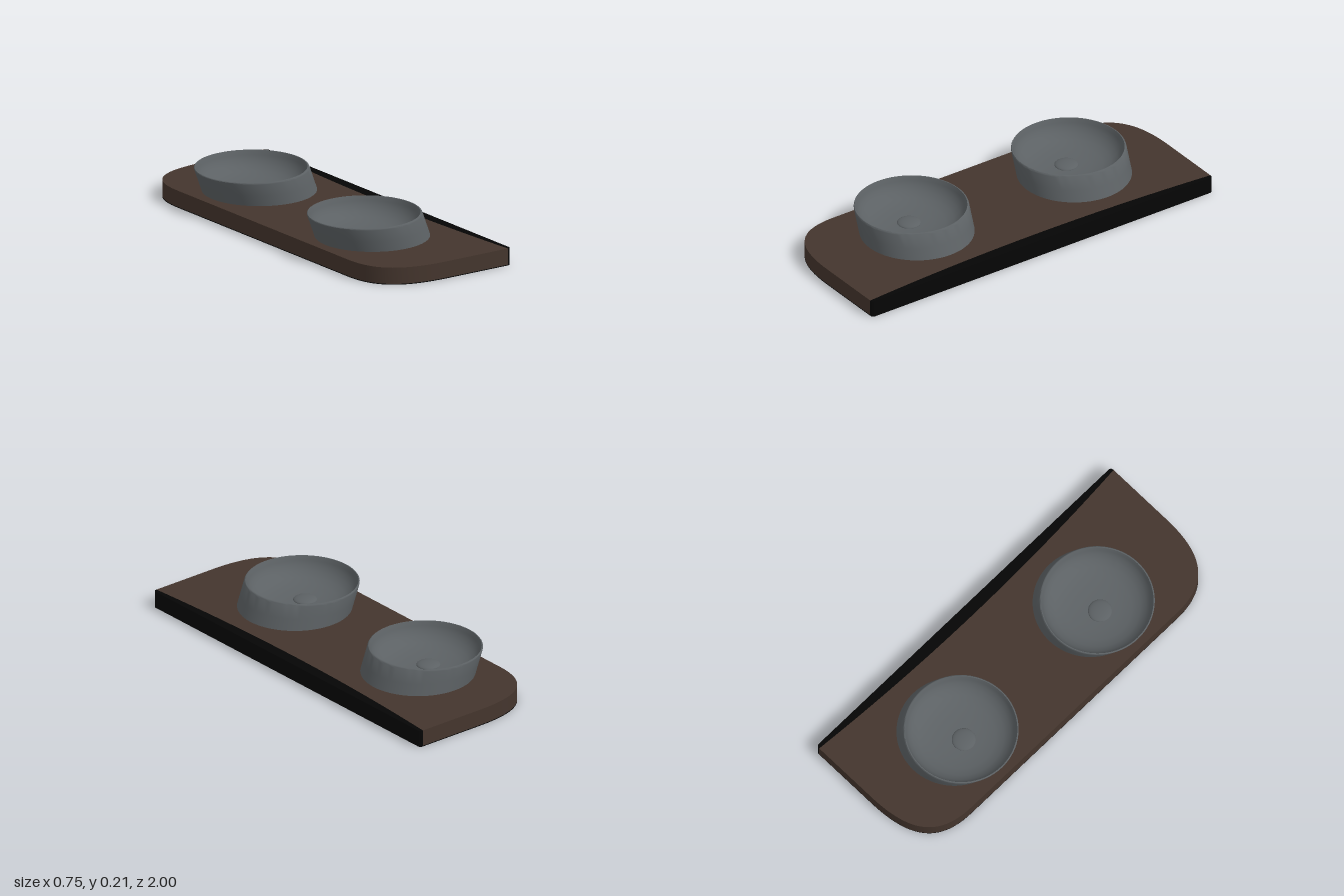
import * as THREE from 'three';
import { toCreasedNormals } from 'three/addons/utils/BufferGeometryUtils.js';

const wood = new THREE.MeshStandardMaterial({ color: 0x44352d });
wood.name = 'darkWood';
const black = new THREE.MeshStandardMaterial({ color: 0x050505 });
black.name = 'black';
const ceramic = new THREE.MeshStandardMaterial({ color: 0x5c6164 });
ceramic.name = 'greyCeramic';

const TOP = 0.085; // counter height
const BASE = 0.004; // thin black underside
const RIM = 0.208; // basin height

// Wide soft corners on the -x side, from one end to the other
function softSide(s) {
  s.lineTo(0, 1);
  s.bezierCurveTo(-0.25, 1, -0.373, 0.92, -0.373, 0.7);
  s.lineTo(-0.373, -0.7);
  s.bezierCurveTo(-0.373, -0.92, -0.25, -1, 0, -1);
  return s;
}

// Tight corners on the +x side, from +1 back to -1
function squareSide(s) {
  s.quadraticCurveTo(0.373, 1, 0.373, 0.982);
  s.lineTo(0.373, -0.982);
  s.quadraticCurveTo(0.373, -1, 0.355, -1);
  return s;
}

function slab(name, shape, y0, y1, material) {
  const geo = new THREE.ExtrudeGeometry(shape, { depth: y1 - y0, bevelEnabled: false, curveSegments: 24 });
  geo.rotateX(-Math.PI / 2).translate(0, y0, 0);
  const mesh = new THREE.Mesh(toCreasedNormals(geo, 0.6), material);
  mesh.name = name;
  return mesh;
}

function createCounter() {
  const counter = new THREE.Group();
  counter.name = 'counter';

  // Wooden slab meets the black edge along a shallow curve
  const woodShape = new THREE.Shape().moveTo(0.355, -1);
  woodShape.quadraticCurveTo(0.271, 0, 0.355, 1);
  softSide(woodShape).closePath();

  const edgeShape = new THREE.Shape().moveTo(0.355, -1);
  edgeShape.quadraticCurveTo(0.271, 0, 0.355, 1);
  squareSide(edgeShape);

  const baseShape = softSide(new THREE.Shape().moveTo(0.355, 1));
  baseShape.lineTo(0.355, -1);
  baseShape.quadraticCurveTo(0.373, -1, 0.373, -0.982);
  baseShape.lineTo(0.373, 0.982);
  baseShape.quadraticCurveTo(0.373, 1, 0.355, 1);

  counter.add(
    slab('counterTop', woodShape, BASE, TOP, wood),
    slab('wallEdge', edgeShape, BASE, TOP, black),
    slab('underside', baseShape, 0, BASE, black),
  );
  return counter;
}

function createBasin(z) {
  const basin = new THREE.Group();
  basin.name = 'basin';

  // Outer wall and rim (first six points), then the bowl down to its floor
  const outerCount = 6;
  const profile = [
    [0.277, TOP - 0.003], [0.277, 0.14], [0.277, 0.2], [0.276, 0.205], [0.273, RIM], [0.269, RIM],
    [0.267, 0.204], [0.262, 0.185], [0.252, 0.165], [0.234, 0.143], [0.205, 0.123],
    [0.165, 0.11], [0.11, 0.102], [0.055, 0.0985], [0, 0.098],
  ].map(([r, y]) => new THREE.Vector2(r, y));
  const geo = new THREE.LatheGeometry(profile, 72);

  // Lean the outer wall towards -x; the bowl stays centred under the rim
  const pos = geo.attributes.position;
  for (let i = 0; i < pos.count; i++) {
    const x = pos.getX(i), y = pos.getY(i);
    const rise = (y - TOP) / (RIM - TOP);
    const lean = i % profile.length < outerCount ? rise : 1;
    pos.setX(i, x - 0.043 - 0.047 * lean);
    pos.setY(i, y + 0.008 * x * rise);
  }
  const shell = new THREE.Mesh(toCreasedNormals(geo, 0.7), ceramic);
  shell.name = 'bowl';

  // Domed drain cover
  const dome = new THREE.SphereGeometry(0.058, 40, 10, 0, Math.PI * 2, 0, Math.PI / 2);
  dome.scale(1, 0.26, 1);
  const drain = new THREE.Mesh(dome, ceramic);
  drain.name = 'drainCover';
  drain.position.set(-0.108, 0.0985, 0);

  basin.add(shell, drain);
  basin.position.z = z;
  return basin;
}

export function createModel() {
  const model = new THREE.Group();
  model.name = 'doubleVanity';
  model.add(createCounter());
  for (const z of [-0.483, 0.442]) model.add(createBasin(z));
  return model;
}
